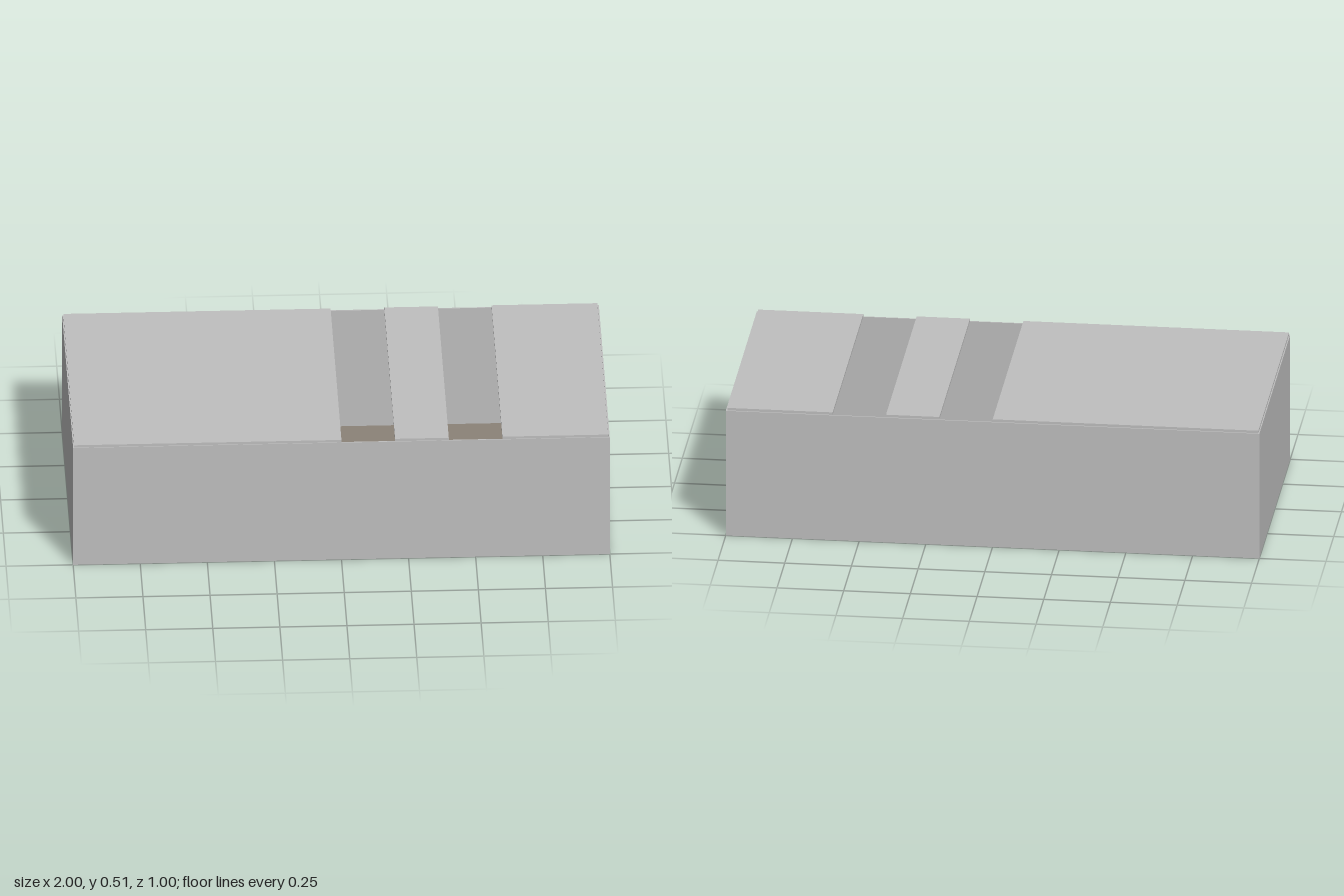
import * as THREE from 'three';

export function createModel() {
  const group = new THREE.Group();
  const panelGrey = new THREE.MeshStandardMaterial({ color: 0xc0c0c0 });
  panelGrey.name = 'panelGrey';
  const floorBrown = new THREE.MeshStandardMaterial({ color: 0x8b8378 });
  floorBrown.name = 'floorBrown';

  // Box given by its minimum and maximum corners
  function slab(name, material, [x0, y0, z0], [x1, y1, z1]) {
    const geometry = new THREE.BoxGeometry(x1 - x0, y1 - y0, z1 - z0);
    const mesh = new THREE.Mesh(geometry, material);
    mesh.position.set((x0 + x1) / 2, (y0 + y1) / 2, (z0 + z1) / 2);
    mesh.name = name;
    group.add(mesh);
  }

  const wall = 0.005, height = 0.5;
  const inX = 1 - wall, inZ = 0.5 - wall;

  // Floor between the walls
  slab('floor', floorBrown, [-inX, 0, -inZ], [inX, wall, inZ]);

  // Long walls, running the full length
  slab('frontWall', panelGrey, [-1, 0, inZ], [1, height, 0.5]);
  slab('backWall', panelGrey, [-1, 0, -0.5], [1, height, -inZ]);

  // End walls, fitted between the long walls
  slab('leftWall', panelGrey, [inX, 0, -inZ], [1, height, inZ]);
  slab('rightWall', panelGrey, [-1, 0, -inZ], [-inX, height, inZ]);

  // Roof panels with two open slots between them
  const roofSpans = [[-0.996, 0], [0.2, 0.4], [0.6, 0.994]];
  roofSpans.forEach(([x0, x1], i) => {
    slab('roofPanel' + (i + 1), panelGrey, [x0, height, -0.495], [x1, height + 0.01, 0.497]);
  });

  return group;
}
